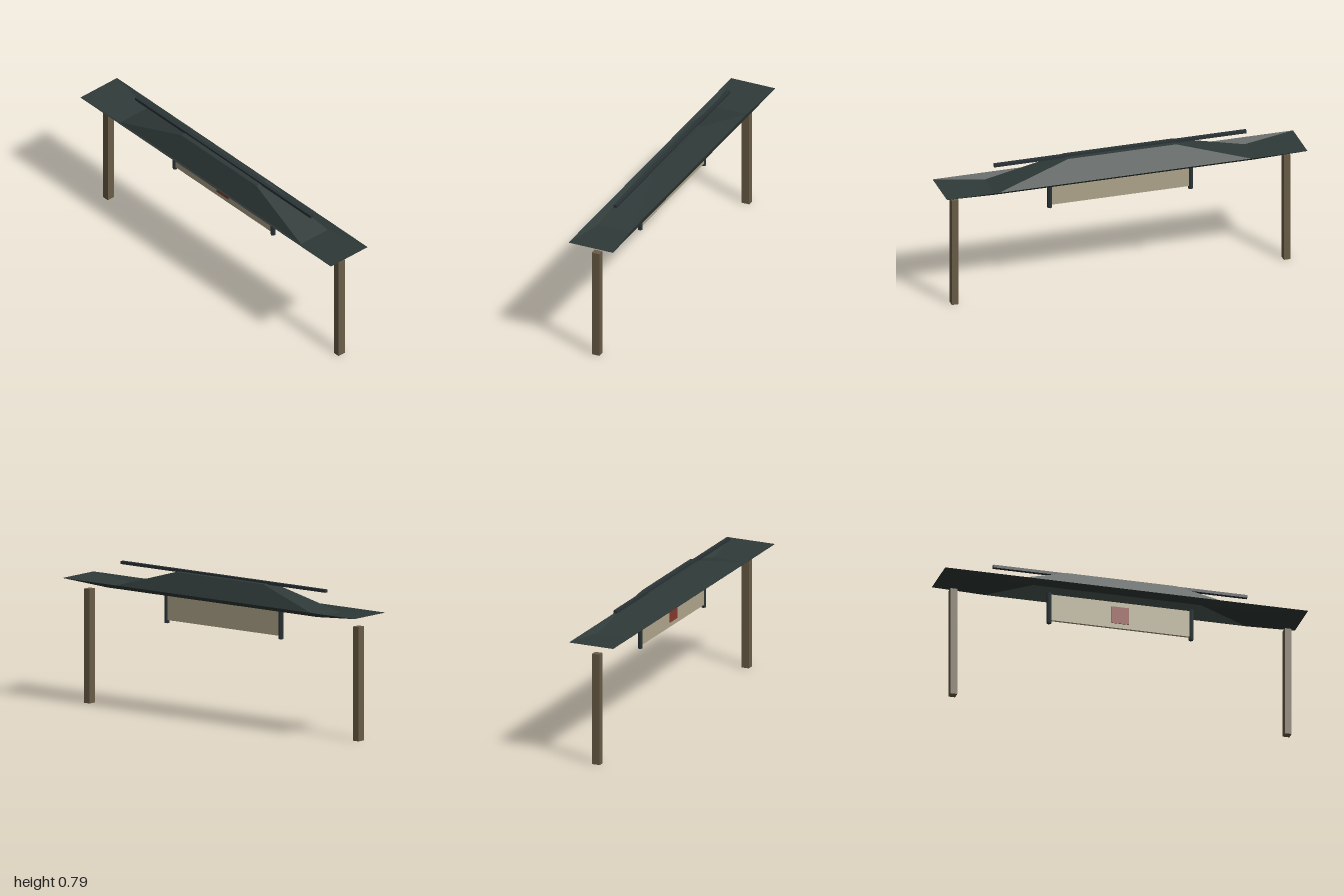
import * as THREE from 'three';

const mat = (name, color, side = THREE.FrontSide) => {
  const m = new THREE.MeshStandardMaterial({ color, side, flatShading: true });
  m.name = name;
  return m;
};

// Rectangular rings [halfX, y, halfZ] from the outer eave to the ridge, joined by flat quads
function ringRoof(rings) {
  const corners = rings.map(([x, y, z]) => [[x, y, z], [x, y, -z], [-x, y, -z], [-x, y, z]]);
  const pos = [];
  const quad = (a, b, c, d) => [a, b, c, a, c, d].forEach((p) => pos.push(...p));
  for (let r = 0; r < rings.length - 1; r++) {
    for (let i = 0; i < 4; i++) {
      const j = (i + 1) % 4;
      quad(corners[r][i], corners[r][j], corners[r + 1][j], corners[r + 1][i]);
    }
  }
  quad(...corners[rings.length - 1]);
  const g = new THREE.BufferGeometry();
  g.setAttribute('position', new THREE.Float32BufferAttribute(pos, 3));
  g.computeVertexNormals();
  return g;
}

export function createModel() {
  const group = new THREE.Group();
  const roofMat = mat('roof slate', 0x2f3a38, THREE.DoubleSide);
  const trimMat = mat('dark trim', 0x2a3336);
  const woodMat = mat('weathered wood', 0x6a5d47);
  const panelMat = mat('pale panel', 0xb0a68c);
  const redMat = mat('red patch', 0x86382b);

  const add = (name, geometry, material, x, y, z) => {
    const mesh = new THREE.Mesh(geometry, material);
    mesh.name = name;
    mesh.position.set(x, y, z);
    group.add(mesh);
  };

  // Hollow roof: upturned eaves, then steep slopes to a flat top
  add('roof', ringRoof([[1, 0.68, 0.13], [0.72, 0.655, 0.095], [0.3, 0.777, 0.037]]), roofMat, 0, 0, 0);
  add('ridgeBeam', new THREE.BoxGeometry(1.4, 0.016, 0.02), trimMat, 0, 0.78, 0);

  // Gate posts and hexagonal sign posts, mirrored
  for (const [side, s] of [['left', 1], ['right', -1]]) {
    add(side + 'Post', new THREE.BoxGeometry(0.037, 0.615, 0.044), woodMat, s * 0.921, 0.3075, 0);
    add(side + 'SignPost', new THREE.CylinderGeometry(0.013, 0.013, 0.177, 6), trimMat, s * 0.391, 0.5765, 0);
  }

  // Hanging panel with a square patch on the front
  add('signPanel', new THREE.BoxGeometry(0.77, 0.15, 0.014), panelMat, 0, 0.58, 0);
  add('signPatch', new THREE.BoxGeometry(0.095, 0.096, 0.004), redMat, 0, 0.579, 0.009);

  return group;
}
